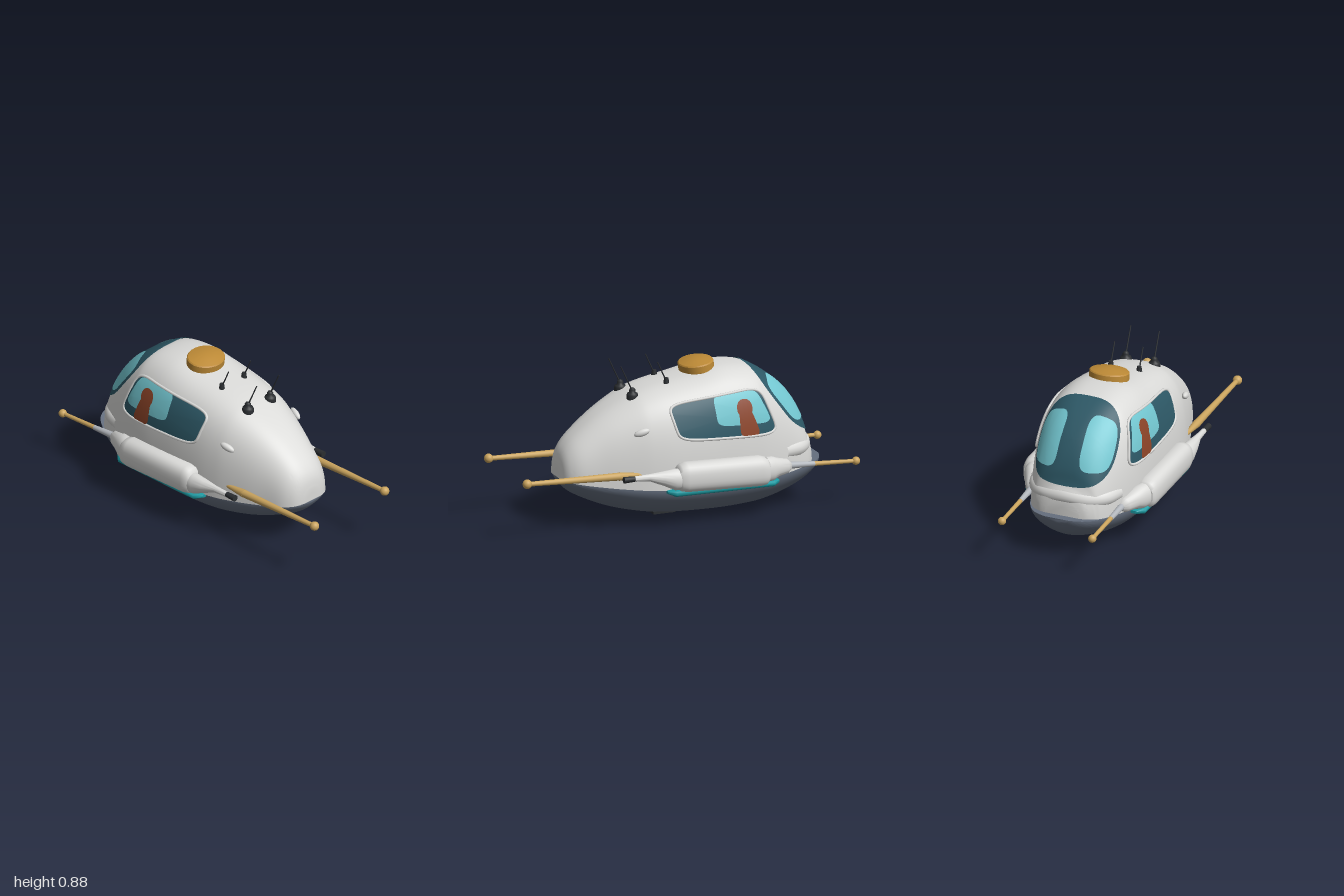
import * as THREE from 'three';
import { toCreasedNormals } from 'three/addons/utils/BufferGeometryUtils.js';

const mat = (name, color, side = THREE.FrontSide) => {
  const m = new THREE.MeshStandardMaterial({ color, side });
  m.name = name;
  return m;
};
const spow = (v, p) => Math.sign(v) * Math.abs(v) ** p;
const V = (x, y, z) => new THREE.Vector3(x, y, z);

// Smoothly subdivide a table of stations
function refine(rows, steps) {
  const cols = rows[0].map((_, c) =>
    new THREE.SplineCurve(rows.map((r, i) => new THREE.Vector2(i, r[c]))));
  const n = (rows.length - 1) * steps;
  return Array.from({ length: n + 1 }, (_, i) => cols.map(c => c.getPoint(i / n).y));
}

// Skin closed rings that follow one another along +x, with both ends capped
function loft(rings, crease = 0.6) {
  const n = rings[0].length, pos = [], idx = [];
  rings.forEach(r => r.forEach(p => pos.push(p.x, p.y, p.z)));
  for (let i = 0; i < rings.length - 1; i++)
    for (let j = 0; j < n; j++) {
      const k = (j + 1) % n, a = i * n + j, b = a + n, c = i * n + k, d = c + n;
      idx.push(a, b, c, b, d, c);
    }
  [0, rings.length - 1].forEach((ri, end) => {
    const mid = rings[ri].reduce((s, p) => s.add(p), V(0, 0, 0)).divideScalar(n);
    const m = pos.length / 3;
    pos.push(mid.x, mid.y, mid.z);
    for (let j = 0; j < n; j++) {
      const a = ri * n + j, b = ri * n + (j + 1) % n;
      idx.push(m, ...(end ? [b, a] : [a, b]));
    }
  });
  const g = new THREE.BufferGeometry();
  g.setAttribute('position', new THREE.Float32BufferAttribute(pos, 3));
  g.setIndex(idx);
  return toCreasedNormals(g, crease);
}

// Hull stations: x, top (or bottom) height, half width
const seam = x => 0.2 + 0.1 * (x + 0.15) ** 2;
const bulge = x => THREE.MathUtils.clamp(2.2 + (x + 0.75) * 2.2, 2.2, 2.9) - Math.max(0, x - 0.25) * 1.2;
const UPPER = refine([
  [-0.78, 0.32, 0.1], [-0.77, 0.37, 0.14], [-0.75, 0.405, 0.175], [-0.737, 0.44, 0.19],
  [-0.72, 0.5, 0.205], [-0.68, 0.58, 0.228], [-0.62, 0.66, 0.252], [-0.54, 0.73, 0.28],
  [-0.46, 0.78, 0.3], [-0.4, 0.805, 0.31], [-0.3, 0.818, 0.318], [-0.2, 0.815, 0.32],
  [-0.05, 0.785, 0.32], [0.1, 0.757, 0.312], [0.2, 0.735, 0.298], [0.28, 0.708, 0.28],
  [0.4, 0.648, 0.243], [0.5, 0.585, 0.207], [0.6, 0.505, 0.17], [0.65, 0.45, 0.135],
  [0.675, 0.4, 0.1], [0.685, 0.345, 0.06]], 4);
const LOWER = refine([
  [-0.84, 0.225, 0.07], [-0.82, 0.185, 0.125], [-0.78, 0.14, 0.175], [-0.7, 0.09, 0.225],
  [-0.6, 0.05, 0.262], [-0.5, 0.022, 0.288], [-0.4, 0.008, 0.303], [-0.2, 0, 0.31],
  [0.1, 0.013, 0.305], [0.3, 0.05, 0.273], [0.45, 0.098, 0.226], [0.6, 0.17, 0.165],
  [0.66, 0.22, 0.115], [0.683, 0.255, 0.06]], 4);

const arc = (x, h, w, n, from, seg = 48) => Array.from({ length: seg + 1 }, (_, j) => {
  const t = from + Math.PI * j / seg, s = j % seg ? Math.sin(t) : 0;
  return V(x, seam(x) + Math.abs(h - seam(x)) * spow(s, 2 / n), w * spow(Math.cos(t), 2 / n));
});

function insideUpper(p) {
  const i = UPPER.findIndex(r => r[0] >= p.x);
  if (i < 1 || p.y < seam(p.x)) return false;
  const [a, b] = [UPPER[i - 1], UPPER[i]], t = (p.x - a[0]) / (b[0] - a[0]);
  const top = a[1] + (b[1] - a[1]) * t, w = a[2] + (b[2] - a[2]) * t, n = bulge(p.x), s = seam(p.x);
  return (Math.abs(p.z) / w) ** n + ((p.y - s) / (top - s)) ** n < 1;
}

// Point on the hull at radius r, angle step j of a rounded outline; rayAt(a, b) gives its ray
const N = 64;
function laid(rayAt, round, lift, r, j) {
  const t = 2 * Math.PI * j / N;
  const [o, d] = rayAt(r * spow(Math.cos(t), 2 / round), r * spow(Math.sin(t), 2 / round));
  d.normalize();
  let lo = 0, hi = 1;
  for (let k = 0; k < 24; k++) {
    const m = (lo + hi) / 2;
    if (insideUpper(o.clone().addScaledVector(d, m))) lo = m; else hi = m;
  }
  return o.addScaledVector(d, lo + lift);
}

// Thin rounded pane laid on the hull
function pane(rayAt, round, lift) {
  const R = 14, pos = [], idx = [];
  for (let i = 0; i <= R; i++)
    for (let j = 0; j < N; j++) {
      pos.push(...laid(rayAt, round, lift, i / R, j).toArray());
      if (i < R) {
        const a = i * N + j, b = i * N + (j + 1) % N;
        idx.push(a, a + N, b, b, a + N, b + N);
      }
    }
  const g = new THREE.BufferGeometry();
  g.setAttribute('position', new THREE.Float32BufferAttribute(pos, 3));
  g.setIndex(idx);
  g.computeVertexNormals();
  return g;
}

// Slim frame around a pane
const rim = (rayAt, round) => new THREE.TubeGeometry(new THREE.CatmullRomCurve3(
  Array.from({ length: N }, (_, j) => laid(rayAt, round, 0.003, 1.015, j)), true), 160, 0.008, 8, true);

// Corners run lower front, lower back, upper front, upper back as x, y pairs
const sideRay = (c, s) => (a, b) => {
  const u = (a + 1) / 2, v = (b + 1) / 2;
  const mix = k => (c[0][k] * (1 - u) + c[1][k] * u) * (1 - v) + (c[2][k] * (1 - u) + c[3][k] * u) * v;
  return [V(mix(0), mix(1), 0), V(0, 0, s)];
};
const frontRay = (a, b) => {
  const v = (b + 1) / 2, o = V(-0.3, 0.45, 0);
  const target = V(-0.73 + 0.32 * v, 0.41 + 0.385 * v, a * (0.22 - 0.02 * b + 0.035 * (1 - b * b)));
  return [o, target.sub(o)];
};

export function createModel() {
  const model = new THREE.Group();
  model.name = 'vehicle';
  const shell = mat('shell grey', 0xdadad8), slate = mat('slate', 0x667080);
  const glass = mat('dark glass', 0x2d5866, THREE.DoubleSide), shine = mat('light glass', 0x74c8d2, THREE.DoubleSide);
  const teal = mat('teal', 0x1c9aa2), gold = mat('pale gold', 0xcaa45e), amber = mat('amber', 0xbd8a36);
  const black = mat('black', 0x2b2e31), brown = mat('brown', 0x8c4428, THREE.DoubleSide), silver = mat('silver', 0xb2b6bc);
  const add = (name, geo, m, p) => {
    const mesh = new THREE.Mesh(geo, m);
    mesh.name = name;
    if (p) mesh.position.copy(p);
    model.add(mesh);
    return mesh;
  };
  const rod = (name, p, q, r1, r2, m) => {
    const d = q.clone().sub(p);
    add(name, new THREE.CylinderGeometry(r2, r1, d.length(), 16), m, p.clone().add(q).divideScalar(2))
      .quaternion.setFromUnitVectors(V(0, 1, 0), d.normalize());
  };
  const pod = (name, rows, s, n, m) => add(name, loft(rows.map(([x, y, z, ry, rz]) =>
    Array.from({ length: 32 }, (_, j) => {
      const t = j * Math.PI / 16;
      return V(x, y + ry * spow(Math.sin(t), 2 / n), s * z + rz * spow(Math.cos(t), 2 / n));
    })), 0.9), m);

  // Hull
  add('upperHull', loft(UPPER.map(([x, h, w]) => arc(x, h, w, bulge(x), 0))), shell);
  add('lowerHull', loft(LOWER.map(([x, h, w]) => arc(x, h, w, 1.75, Math.PI))), slate);
  const lip = [[-0.56, 0.23], [-0.66, 0.195], [-0.715, 0.125]];
  add('noseLip', new THREE.TubeGeometry(new THREE.CatmullRomCurve3([
    ...lip.map(([x, z]) => V(x, 0.335, -z)), V(-0.737, 0.345, 0),
    ...lip.reverse().map(([x, z]) => V(x, 0.335, z))]), 48, 0.047, 16), shell);
  add('bellyHatch', new THREE.BoxGeometry(0.13, 0.014, 0.12), black, V(0.07, 0.013, 0));

  // Windshield with two reflections
  add('windshield', pane(frontRay, 3.4, 0.005), glass);
  for (const s of [1, -1])
    add('windshieldShine', pane((a, b) => frontRay(s * (0.56 + 0.35 * a), -0.02 + 0.58 * b), 4, 0.008), shine);

  // Roof hatch
  const hatch = add('roofHatch', new THREE.LatheGeometry([[0, -0.035], [0.108, -0.035], [0.113, -0.03],
    [0.113, 0.008], [0.107, 0.014], [0.098, 0.016], [0.06, 0.026], [0, 0.031]]
    .map(p => new THREE.Vector2(...p)), 48), amber, V(-0.14, 0.825, 0));
  hatch.geometry = toCreasedNormals(hatch.geometry, 0.5);
  hatch.scale.x = 0.85;
  hatch.rotation.z = -0.14;

  for (const s of [1, -1]) {
    // Side window with frame, reflection and a seated figure
    const opening = sideRay([[-0.512, 0.46], [0.075, 0.485], [-0.415, 0.718], [0.12, 0.672]], s);
    add('sideWindow', pane(opening, 6, 0.004), glass);
    add('sideWindowFrame', rim(opening, 6), shell);
    add('sideShine', pane(sideRay([[-0.478, 0.525], [-0.145, 0.54], [-0.395, 0.71], [-0.135, 0.703]], s), 6, 0.006), shine);
    add('figureBody', pane(sideRay([[-0.4, 0.468], [-0.275, 0.472], [-0.345, 0.62], [-0.275, 0.62]], s), 5, 0.008), brown);
    add('figureHead', pane(sideRay([[-0.36, 0.575], [-0.265, 0.575], [-0.355, 0.67], [-0.265, 0.67]], s), 2.2, 0.008), brown);

    // Side vent
    const vent = add('sideVent', new THREE.SphereGeometry(1, 20, 12), shell, V(0.29, 0.545, s * 0.262));
    vent.scale.set(0.045, 0.02, 0.018);
    vent.rotation.set(0, s * 0.25, -0.3);

    // Side pod, its nose, tail cone and underglow strip
    pod('podNose', [[-0.59, 0.26, 0.27, 0.02, 0.02], [-0.565, 0.262, 0.277, 0.04, 0.036], [-0.5, 0.268, 0.295, 0.052, 0.052],
      [-0.46, 0.27, 0.315, 0.068, 0.055], [-0.42, 0.27, 0.325, 0.07, 0.055]], s, 2.2, shell);
    pod('podBody', [[-0.425, 0.27, 0.335, 0.06, 0.05], [-0.41, 0.27, 0.335, 0.077, 0.06], [-0.375, 0.273, 0.335, 0.085, 0.065],
      [0.06, 0.288, 0.335, 0.084, 0.065], [0.095, 0.288, 0.335, 0.075, 0.06], [0.11, 0.288, 0.335, 0.058, 0.05]], s, 2.5, shell);
    pod('podTail', [[0.105, 0.282, 0.345, 0.06, 0.046], [0.13, 0.283, 0.345, 0.06, 0.046], [0.2, 0.297, 0.345, 0.04, 0.035],
      [0.28, 0.31, 0.342, 0.02, 0.018], [0.38, 0.312, 0.34, 0.014, 0.014]], s, 2, shell);
    pod('podGlow', [[-0.5, 0.196, 0.305, 0.008, 0.02], [-0.46, 0.194, 0.31, 0.02, 0.05], [0.12, 0.2, 0.31, 0.02, 0.05],
      [0.16, 0.204, 0.305, 0.008, 0.02]], s, 3, teal);
    rod('podNub', V(0.365, 0.312, s * 0.34), V(0.43, 0.312, s * 0.34), 0.015, 0.018, black);

    // Front and rear booms
    const z = s * 0.27;
    rod('frontBoomBase', V(-0.57, 0.262, z), V(-0.73, 0.253, z), 0.02, 0.014, silver);
    rod('frontBoom', V(-0.72, 0.254, z), V(-0.975, 0.241, z), 0.013, 0.011, gold);
    add('frontBoomTip', new THREE.SphereGeometry(0.023, 20, 14), gold, V(-0.977, 0.241, z));
    rod('rearBoomRoot', V(0.26, 0.305, s * 0.262), V(0.43, 0.314, z), 0.008, 0.023, gold);
    rod('rearBoom', V(0.425, 0.314, z), V(0.97, 0.333, z), 0.022, 0.013, gold);
    add('rearBoomTip', new THREE.SphereGeometry(0.026, 20, 14), gold, V(0.974, 0.334, z));

    // Aerials
    const az = s * 0.085;
    add('rearAerialBase', new THREE.LatheGeometry([[0.033, -0.04], [0.033, 0], [0.028, 0.012], [0.016, 0.018],
      [0.018, 0.03], [0.012, 0.04], [0, 0.045]].map(p => new THREE.Vector2(...p)), 24), black, V(0.272, 0.71, az));
    rod('rearAerial', V(0.275, 0.74, az), V(0.34, 0.88, az), 0.004, 0.003, black);
    add('frontAerialBase', new THREE.CylinderGeometry(0.012, 0.018, 0.04, 16), black, V(0.07, 0.765, az));
    rod('frontAerial', V(0.072, 0.77, az), V(0.122, 0.88, az), 0.004, 0.003, black);
  }
  return model;
}
